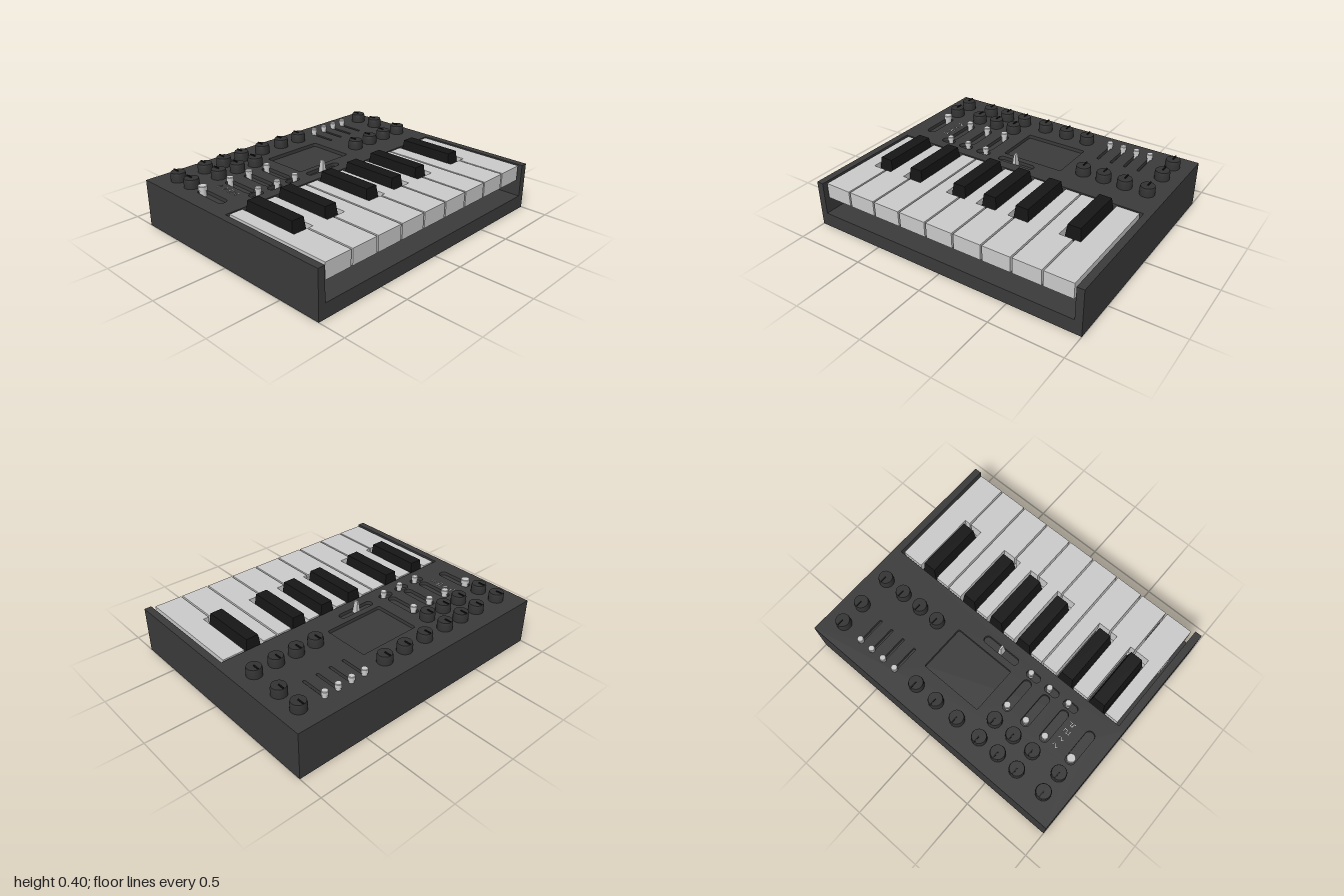
import * as THREE from 'three';
import { toCreasedNormals } from 'three/addons/utils/BufferGeometryUtils.js';

const mat = (color) => new THREE.MeshStandardMaterial({ color });
const grey = mat(0xcccccc), dark = mat(0x3b3b3b), knobDark = mat(0x333333), black = mat(0x161616);
const TOP = 0.33, BAY = -0.03, BACK = -0.82, FRONT = 0.81;

export function createModel() {
  const root = new THREE.Group();
  root.name = 'keyboardSynthesizer';

  const add = (name, geo, material, x = 0, y = 0, z = 0, parent = root) => {
    const m = new THREE.Mesh(geo, material);
    m.name = name;
    m.position.set(x, y, z);
    parent.add(m);
    return m;
  };
  // box given by its limits
  const block = (name, material, x0, x1, y0, y1, z0, z1, parent) =>
    add(name, new THREE.BoxGeometry(x1 - x0, y1 - y0, z1 - z0), material,
      (x0 + x1) / 2, (y0 + y1) / 2, (z0 + z1) / 2, parent);
  // plan outline drawn in (x, -z), raised along y
  const raise = (shape, h) =>
    new THREE.ExtrudeGeometry(shape, { depth: h, bevelEnabled: false, curveSegments: 8 }).rotateX(-Math.PI / 2);
  // box whose top end is scaled down
  const taperBox = (w, h, d, sx, sz, segs = 1) => {
    const g = new THREE.BoxGeometry(w, h, d, 1, segs, 1), p = g.attributes.position;
    for (let i = 0; i < p.count; i++) {
      if (p.getY(i) > h / 2 - 1e-5) p.setXYZ(i, p.getX(i) * sx, p.getY(i), p.getZ(i) * sz);
    }
    return toCreasedNormals(g, 0.1);
  };
  const lathe = (pts, n) =>
    toCreasedNormals(new THREE.LatheGeometry(pts.map(([r, y]) => new THREE.Vector2(r, y)), n), 0.6);
  // rounded rectangle hole, limits in x and z
  const roundHole = (x0, x1, z0, z1, r) => {
    const p = new THREE.Path();
    p.absarc(x1 - r, -z0 - r, r, 0, Math.PI / 2);
    p.absarc(x0 + r, -z0 - r, r, Math.PI / 2, Math.PI);
    p.absarc(x0 + r, -z1 + r, r, Math.PI, Math.PI * 1.5);
    p.absarc(x1 - r, -z1 + r, r, Math.PI * 1.5, Math.PI * 2);
    p.closePath();
    return p;
  };

  // case: rear block, then a U-shaped front that holds the keys
  block('rearCase', dark, -1, 1, 0, 0.305, BACK, BAY);
  const u = new THREE.Shape([[-1, 0], [1, 0], [1, TOP], [0.95, TOP], [0.95, 0.1], [-0.95, 0.1], [-0.95, TOP], [-1, TOP]]
    .map(([x, y]) => new THREE.Vector2(x, y)));
  add('keyBay', new THREE.ExtrudeGeometry(u, { depth: FRONT - BAY, bevelEnabled: false }), dark, 0, 0, BAY);

  // control panel with screen recess and slots
  const panel = new THREE.Shape([[-1, -BACK], [-1, -BAY], [1, -BAY], [1, -BACK]]
    .map(([x, y]) => new THREE.Vector2(x, y)));
  panel.holes.push(roundHole(-0.195, 0.26, -0.535, -0.2, 0.012));
  const sliders = [];
  panel.holes.push(roundHole(-0.883, -0.817, -0.43, -0.17, 0.0325));
  sliders.push([-0.85, -0.395, 0.03, 0.046]);
  for (const x of [-0.637, -0.482, -0.328]) {
    panel.holes.push(roundHole(x - 0.032, x + 0.032, -0.425, -0.17, 0.0315));
    sliders.push([x, -0.392, 0.024, 0.042]);
    panel.holes.push(roundHole(x - 0.053, x + 0.053, -0.157, -0.103, 0.0265));
    sliders.push([x + 0.02, -0.13, 0.022, 0.042]);
  }
  for (const x of [0.39, 0.493, 0.594, 0.695]) {
    panel.holes.push(roundHole(x - 0.01, x + 0.01, -0.69, -0.49, 0.009));
    sliders.push([x, -0.68, 0.022, 0.046]);
  }
  panel.holes.push(roundHole(-0.193, 0.09, -0.157, -0.103, 0.0265));
  add('controlPanel', raise(panel, 0.025), dark, 0, 0.305, 0);

  // slider caps: thin stem under a wider cap
  for (const [x, z, r, h] of sliders) {
    add('sliderCap', lathe([[r * 0.8, -0.025], [r * 0.8, h * 0.35], [r, h * 0.35], [r, h - 0.003], [r - 0.003, h], [0, h]], 20),
      grey, x, TOP, z);
  }
  add('lever', taperBox(0.03, 0.09, 0.045, 0.45, 0.65), grey, -0.055, 0.35, -0.13);

  // rotary knobs with a pointer ridge
  const knobs = [[0.87, -0.665], [0.87, -0.49]];
  for (const x of [-0.85, -0.637, -0.482, -0.328]) knobs.push([x, -0.665], [x, -0.515]);
  for (const x of [-0.14, 0.04, 0.21]) knobs.push([x, -0.665]);
  for (const x of [0.405, 0.557, 0.71, 0.87]) knobs.push([x, -0.255]);
  const knobGeo = lathe([[0.051, 0], [0.051, 0.045], [0.047, 0.062], [0, 0.062]], 28);
  for (const [x, z] of knobs) {
    const k = new THREE.Group();
    k.name = 'knob';
    k.position.set(x, TOP, z);
    add('knobBody', knobGeo, knobDark, 0, 0, 0, k);
    block('knobPointer', black, -0.004, 0.004, 0.055, 0.069, -0.046, 0.002, k);
    root.add(k);
  }

  // small wave marks: sine, triangle, square, pulse
  const waves = [
    Array.from({ length: 9 }, (_, i) => [i / 4 - 1, Math.sin(i * Math.PI / 4)]),
    [[-1, 0], [-0.5, 1], [0.5, -1], [1, 0]],
    [[-1, -1], [-1, 1], [0, 1], [0, -1], [1, -1], [1, 1]],
    [[-1, -1], [-0.4, -1], [-0.4, 1], [0.3, 1], [0.3, -1], [1, -1]],
  ];
  waves.forEach((pts, n) => {
    const g = new THREE.Group();
    g.name = 'waveMark';
    g.position.set(-0.722, TOP, [-0.39, -0.332, -0.275, -0.22][n]);
    for (let i = 1; i < pts.length; i++) {
      const [ax, ay] = pts[i - 1], [bx, by] = pts[i];
      const dx = (bx - ax) * 0.02, dz = -(by - ay) * 0.011;
      const s = add('stroke', new THREE.BoxGeometry(Math.hypot(dx, dz) + 0.002, 0.003, 0.003), grey,
        (ax + bx) * 0.01, 0.0005, -(ay + by) * 0.0055, g);
      s.rotation.y = -Math.atan2(dz, dx);
    }
    root.add(g);
  });

  // white keys, notched around the black keys, each with a recessed foot
  const blackX = [-0.76, -0.5, -0.14, 0.098, 0.337, 0.7];
  const pitch = 0.2078, notch = 0.073, zBack = -0.018, zNotch = 0.443, zFront = 0.79;
  for (let i = 0; i < 9; i++) {
    const x0 = -0.935 + i * pitch + 0.006, x1 = x0 + pitch - 0.012;
    let l = x0, r = x1;
    for (const b of blackX) {
      if (b - notch < x0 && b + notch > x0) l = b + notch;
      if (b - notch < x1 && b + notch > x1) r = b - notch;
    }
    const pts = [[x0, zFront], [x1, zFront]];
    if (r < x1) pts.push([x1, zNotch], [r, zNotch]);
    pts.push([r, zBack], [l, zBack]);
    if (l > x0) pts.push([l, zNotch], [x0, zNotch]);
    const s = new THREE.Shape(pts.map(([x, z]) => new THREE.Vector2(x, -z)));
    add('whiteKey', raise(s, 0.108), grey, 0, 0.222, 0);
    block('whiteKeyFoot', grey, x0, x1, 0.115, 0.222, 0.46, 0.6);
  }

  // black keys, tapering to the top
  const blackGeo = taperBox(0.122, 0.27, 0.425, 0.72, 0.94, 2);
  for (const x of blackX) add('blackKey', blackGeo, black, x, 0.25, 0.197);

  return root;
}
